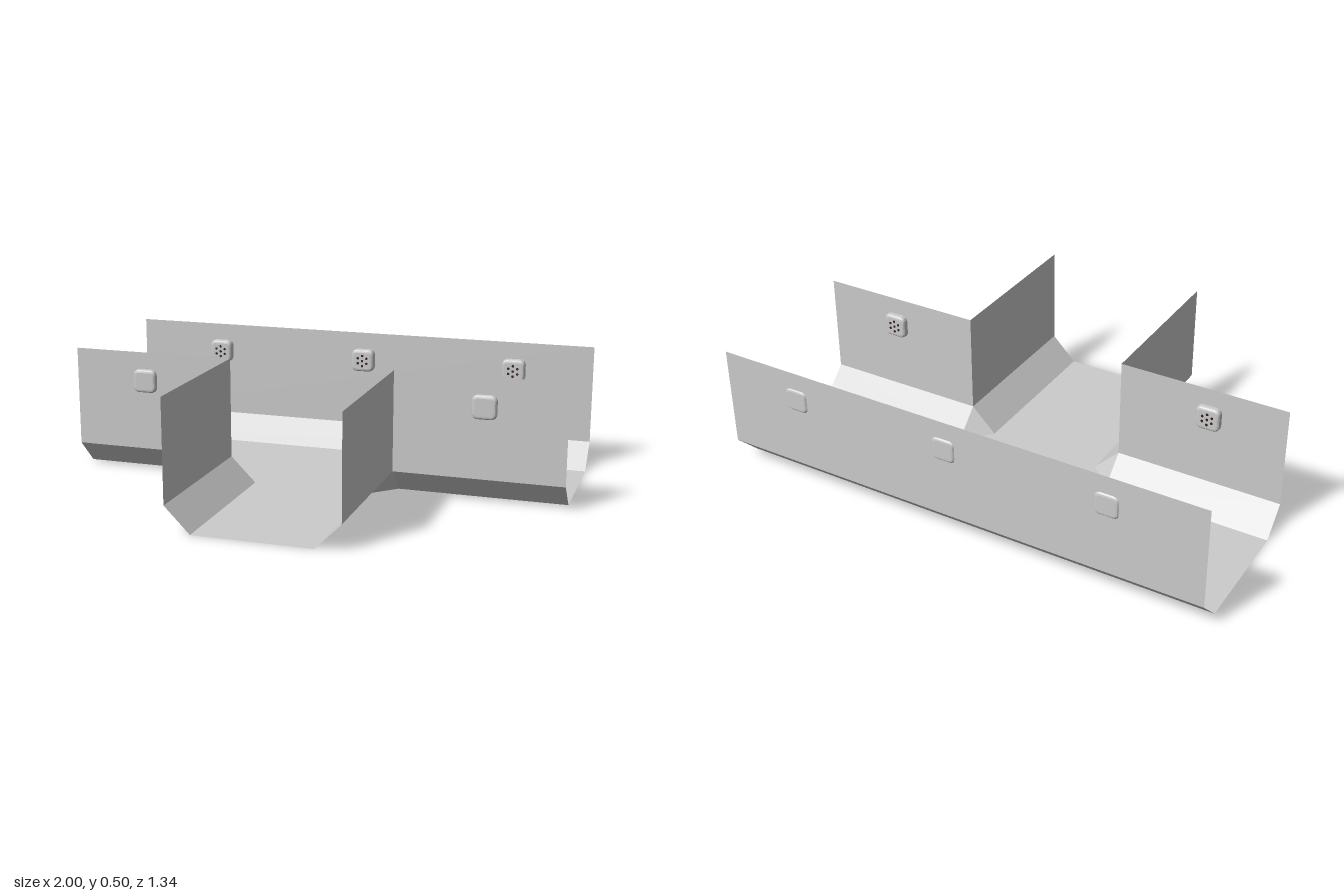
import * as THREE from 'three';

const steel = new THREE.MeshStandardMaterial({ color: 0xcccccc, side: THREE.DoubleSide, flatShading: true });
const plastic = new THREE.MeshStandardMaterial({ color: 0xcccccc });
const dark = new THREE.MeshStandardMaterial({ color: 0x3a2020 });

// Channel dimensions
const L = 1, S = 0.333, C = 0.1, H = 0.5;
const BACK = -0.664, MID = 0.003, FRONT = 0.67;

function addMesh(parent, name, geometry, material) {
  const mesh = new THREE.Mesh(geometry, material);
  mesh.name = name;
  parent.add(mesh);
  return mesh;
}

// Flat convex panel from corners in order
function panel(corners) {
  const g = new THREE.BufferGeometry();
  g.setAttribute('position', new THREE.Float32BufferAttribute(corners.flat(), 3));
  const index = [];
  for (let i = 1; i < corners.length - 1; i++) index.push(0, i, i + 1);
  g.setIndex(index);
  g.computeVertexNormals();
  return g;
}

// Rounded, bevelled sensor block with a ring of small holes on its +z face
function createSensor() {
  const sensor = new THREE.Group();
  const w = 0.036, h = 0.035, r = 0.012, bevel = 0.012, depth = 0.044;
  const s = new THREE.Shape();
  s.moveTo(-w + r, -h);
  s.lineTo(w - r, -h);
  s.quadraticCurveTo(w, -h, w, -h + r);
  s.lineTo(w, h - r);
  s.quadraticCurveTo(w, h, w - r, h);
  s.lineTo(-w + r, h);
  s.quadraticCurveTo(-w, h, -w, h - r);
  s.lineTo(-w, -h + r);
  s.quadraticCurveTo(-w, -h, -w + r, -h);
  const body = new THREE.ExtrudeGeometry(s, {
    depth: depth - 2 * bevel, bevelThickness: bevel, bevelSize: bevel, bevelSegments: 3, curveSegments: 4,
  });
  body.translate(0, 0, -depth / 2 + bevel);
  addMesh(sensor, 'sensorBody', body, plastic);

  const dot = new THREE.CylinderGeometry(0.0055, 0.0055, 0.002, 10).rotateX(Math.PI / 2);
  for (let i = 0; i < 7; i++) {
    const a = Math.PI / 2 + i * Math.PI / 3, radius = i < 6 ? 0.022 : 0;
    addMesh(sensor, 'sensorHole', dot, dark)
      .position.set(Math.cos(a) * radius, Math.sin(a) * radius, depth / 2);
  }
  return sensor;
}

export function createModel() {
  const model = new THREE.Group();
  model.name = 'channelJunction';

  // T-shaped floor with cut inner corners
  const outline = [
    [-L, BACK + C], [L, BACK + C], [L, MID - C], [S, MID - C], [S - C, MID], [S - C, FRONT],
    [-S + C, FRONT], [-S + C, MID], [-S, MID - C], [-L, MID - C],
  ];
  const floorShape = new THREE.Shape(outline.map(([x, z]) => new THREE.Vector2(x, z)));
  addMesh(model, 'floor', new THREE.ShapeGeometry(floorShape).rotateX(Math.PI / 2), steel);

  // Long back wall and its sloped foot
  addMesh(model, 'backWall', panel([[-L, C, BACK], [L, C, BACK], [L, H, BACK], [-L, H, BACK]]), steel);
  addMesh(model, 'backSlope', panel([[-L, 0, BACK + C], [L, 0, BACK + C], [L, C, BACK], [-L, C, BACK]]), steel);

  // Front walls, branch walls and slopes on both sides
  for (const m of [1, -1]) {
    const side = m > 0 ? 'left' : 'right';
    const add = (name, pts) =>
      addMesh(model, side + name, panel(pts.map(([x, y, z]) => [m * x, y, z])), steel);
    add('FrontWall', [[S, C, MID], [L, C, MID], [L, H, MID], [S, H, MID]]);
    add('FrontSlope', [[S, 0, MID - C], [L, 0, MID - C], [L, C, MID], [S, C, MID]]);
    add('BranchWall', [[S, C, MID], [S, C, FRONT], [S, H, FRONT], [S, H, MID]]);
    add('BranchSlope', [[S - C, 0, MID], [S - C, 0, FRONT], [S, C, FRONT], [S, C, MID]]);
    add('CornerSlope', [[S, 0, MID - C], [S - C, 0, MID], [S, C, MID]]);
  }

  // Sensors, holes facing into the channel
  const placeSensor = (name, x, z, turn) => {
    const sensor = createSensor();
    sensor.name = name;
    sensor.position.set(x, 0.384, z);
    sensor.rotation.y = turn;
    model.add(sensor);
  };
  for (const x of [-0.626, 0.025, 0.675]) placeSensor('backSensor', x, -0.648, 0);
  for (const x of [-0.698, 0.686]) placeSensor('frontSensor', x, 0.001, Math.PI);

  return model;
}
